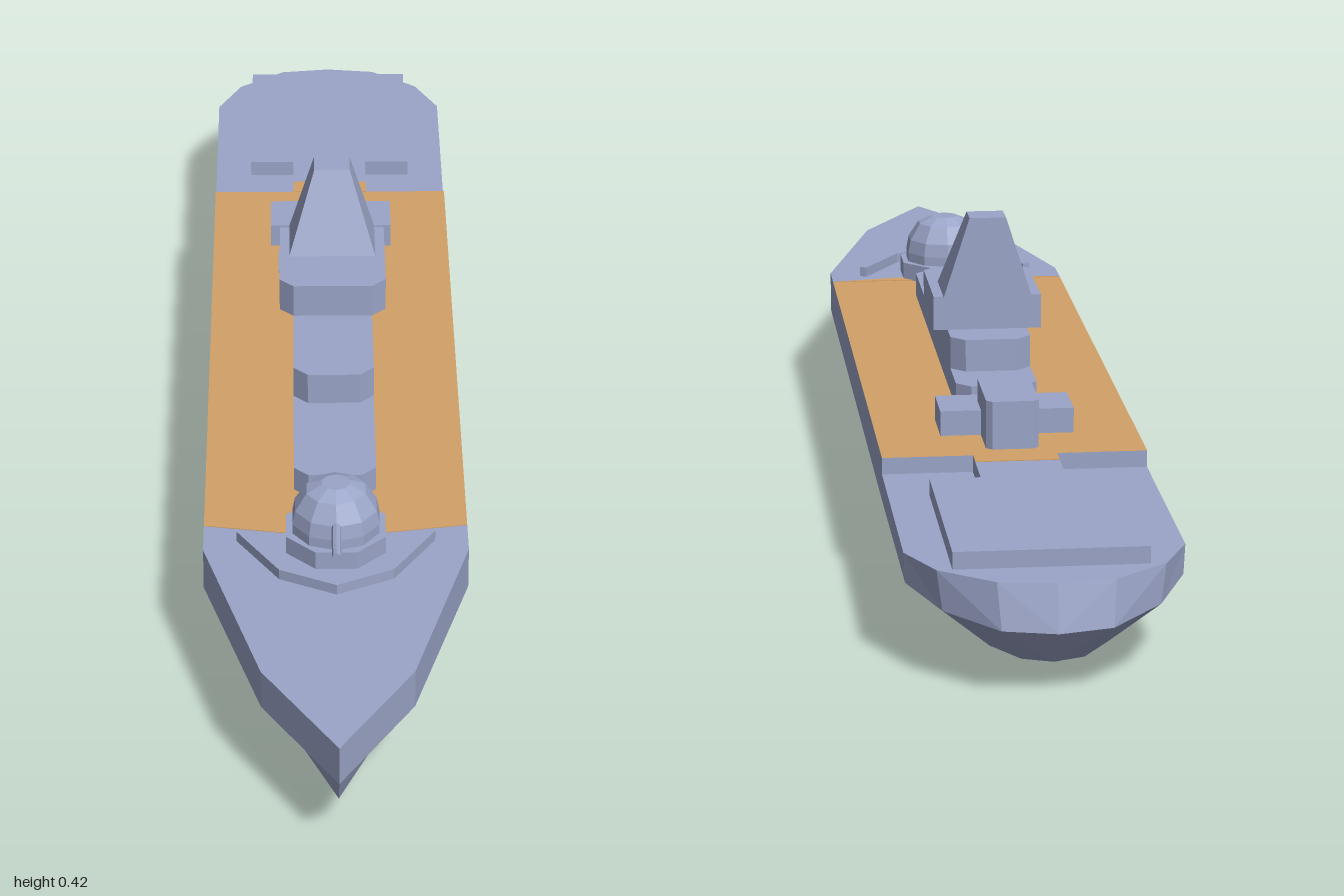
import * as THREE from 'three';

const flat = (name, color) => {
  const m = new THREE.MeshStandardMaterial({ color, flatShading: true });
  m.name = name;
  return m;
};

export function createModel() {
  const grey = flat('hull grey', 0x9ba5c8);
  const tan = flat('wooden deck', 0xd2a068);
  const red = flat('underwater red', 0xd04852);
  const ship = new THREE.Group();
  ship.name = 'warship';

  const add = (name, geometry, material, x = 0, y = 0, z = 0) => {
    const mesh = new THREE.Mesh(geometry, material);
    mesh.name = name;
    mesh.position.set(x, y, z);
    ship.add(mesh);
    return mesh;
  };

  // Upright prism from a plan outline of [x, z] points
  const prism = (name, plan, y0, y1, material = grey) => {
    const shape = new THREE.Shape(plan.map(([x, z]) => new THREE.Vector2(x, -z)));
    const g = new THREE.ExtrudeGeometry(shape, { depth: y1 - y0, bevelEnabled: false });
    g.rotateX(-Math.PI / 2);
    return add(name, g, material, 0, y0, 0);
  };

  // Symmetric outline: give only the +x half, front to back
  const mirrored = half => [...half, ...half.map(([x, z]) => [-x, z]).reverse()];

  // Deckhouse with optional corner cuts at the front and back
  const house = (name, w, zFront, zBack, y0, y1, cf = 0, cb = 0) => {
    const half = [];
    if (cf) half.push([w - cf, zFront], [w, zFront - cf]);
    else half.push([w, zFront]);
    if (cb) half.push([w, zBack + cb], [w - cb, zBack]);
    else half.push([w, zBack]);
    return prism(name, mirrored(half), y0, y1);
  };

  // Hull columns, bow to stern: deck edge, chine, waterline, keel as [x, y, z]
  const side = (z, deckY, waterY) =>
    [[0.18, deckY, z], [0.18, 0.115, z], [0.055 + waterY, waterY, z], [0.045, 0, z]];
  const columns = [
    [[0, 0.175, 1], [0, 0.12, 1], [0, 0.05, 0.935], [0, 0, 0.8]],
    [[0.1, 0.175, 0.83], [0.1, 0.12, 0.83], [0.055, 0.05, 0.8], [0.02, 0, 0.74]],
    [[0.18, 0.175, 0.54], [0.18, 0.115, 0.54], [0.1, 0.05, 0.52], [0.045, 0, 0.485]],
    side(0.48, 0.175, 0.05),
    side(0.41, 0.175, 0.05),
    side(0.39, 0.175, 0.043),
    side(-0.5, 0.175, 0.042),
    side(-0.5, 0.152, 0.042),
    [[0.18, 0.152, -0.845], [0.178, 0.112, -0.845], [0.1, 0.04, -0.8], [0.045, 0, -0.68]],
    [[0.145, 0.152, -0.92], [0.138, 0.1, -0.925], [0.075, 0.04, -0.89], [0.035, 0.002, -0.71]],
    [[0.075, 0.152, -0.975], [0.07, 0.092, -0.988], [0.04, 0.037, -0.935], [0.02, 0.001, -0.72]],
    [[0, 0.152, -0.985], [0, 0.09, -1], [0, 0.035, -0.945], [0, 0, -0.72]],
  ];
  const faces = { grey: [], tan: [], red: [] };
  const tri = (out, ...pts) => {
    const t = new THREE.Triangle(...pts.map(p => new THREE.Vector3(...p)));
    if (t.getArea() > 1e-8) out.push(...pts.flat());
  };
  const quad = (out, a, b, c, d) => {
    tri(out, a, b, c);
    tri(out, a, c, d);
  };
  const flip = ([x, y, z]) => [-x, y, z];
  for (let i = 0; i < columns.length - 1; i++) {
    const p = columns[i], q = columns[i + 1];
    for (let j = 0; j < 3; j++) {
      const out = j === 2 ? faces.red : faces.grey;
      quad(out, p[j], p[j + 1], q[j + 1], q[j]);
      quad(out, flip(p[j]), flip(q[j]), flip(q[j + 1]), flip(p[j + 1]));
    }
    quad(i >= 3 && i <= 5 ? faces.tan : faces.grey, p[0], q[0], flip(q[0]), flip(p[0]));
    quad(faces.red, p[3], flip(p[3]), flip(q[3]), q[3]);
  }
  const shell = (name, list, material) => {
    const g = new THREE.BufferGeometry();
    g.setAttribute('position', new THREE.Float32BufferAttribute(list, 3));
    g.computeVertexNormals();
    add(name, g, material);
  };
  shell('hullSides', faces.grey, grey);
  shell('mainDeck', faces.tan, tan);
  shell('hullBottom', faces.red, red);
  prism('deckFrontEdge', mirrored([[0.07, 0.498], [0.178, 0.48]]), 0.174, 0.176, tan);

  // Raised landing deck with a narrow tongue, planked where it meets the main deck
  prism('landingDeck', mirrored([[0.057, -0.5], [0.057, -0.602], [0.125, -0.602],
    [0.125, -0.92]]), 0.15, 0.175);
  prism('tonguePlanks', mirrored([[0.057, -0.5], [0.057, -0.532]]), 0.174, 0.176, tan);

  // Deckhouses, bow to stern
  house('forwardHouse', 0.057, 0.405, 0.19, 0.17, 0.21, 0.02);
  house('mainHouse', 0.057, 0.21, -0.2, 0.17, 0.256, 0.02, 0.02);
  house('bridge', 0.077, 0.04, -0.14, 0.256, 0.305, 0.02);
  house('rearHouse', 0.057, -0.15, -0.28, 0.17, 0.21, 0, 0.02);
  house('lowPlatform', 0.08, -0.235, -0.315, 0.17, 0.181, 0, 0.025);
  house('crossHouse', 0.092, -0.322, -0.402, 0.17, 0.21);
  house('aftHut', 0.036, -0.345, -0.475, 0.17, 0.242, 0.008, 0.008);

  // Mast tower: a box with its top narrowed and its front sloped back
  const mast = new THREE.BoxGeometry(1, 1, 1);
  const pos = mast.attributes.position;
  for (let i = 0; i < pos.count; i++) {
    const top = pos.getY(i) > 0;
    pos.setXYZ(i, Math.sign(pos.getX(i)) * (top ? 0.026 : 0.063), top ? 0.42 : 0.305,
      pos.getZ(i) < 0 ? -0.145 : (top ? -0.102 : -0.05));
  }
  mast.computeVertexNormals();
  add('mastTower', mast, grey);

  // Gun turret: octagonal base, faceted dome, barrel
  const base = new THREE.CylinderGeometry(0.073, 0.073, 0.03, 8);
  base.rotateY(Math.PI / 8);
  add('turretBase', base, grey, 0, 0.186, 0.52);
  const dome = new THREE.LatheGeometry(
    [[0.062, 0], [0.062, 0.015], [0.058, 0.035], [0.042, 0.06], [0.02, 0.07], [0, 0.07]]
      .map(([r, y]) => new THREE.Vector2(r, y)), 10);
  add('turretDome', dome, grey, 0, 0.2, 0.52);
  const barrel = new THREE.CylinderGeometry(0.0065, 0.0065, 0.12, 8);
  barrel.rotateX(Math.PI / 2);
  add('gunBarrel', barrel, grey, 0, 0.233, 0.59);

  // Angled breakwater ahead of the turret
  prism('breakwater', [[0, 0.65], [0.077, 0.612], [0.135, 0.517], [0.125, 0.511],
    [0.069, 0.602], [0, 0.637], [-0.069, 0.602], [-0.125, 0.511], [-0.135, 0.517],
    [-0.077, 0.612]], 0.17, 0.19);

  return ship;
}
